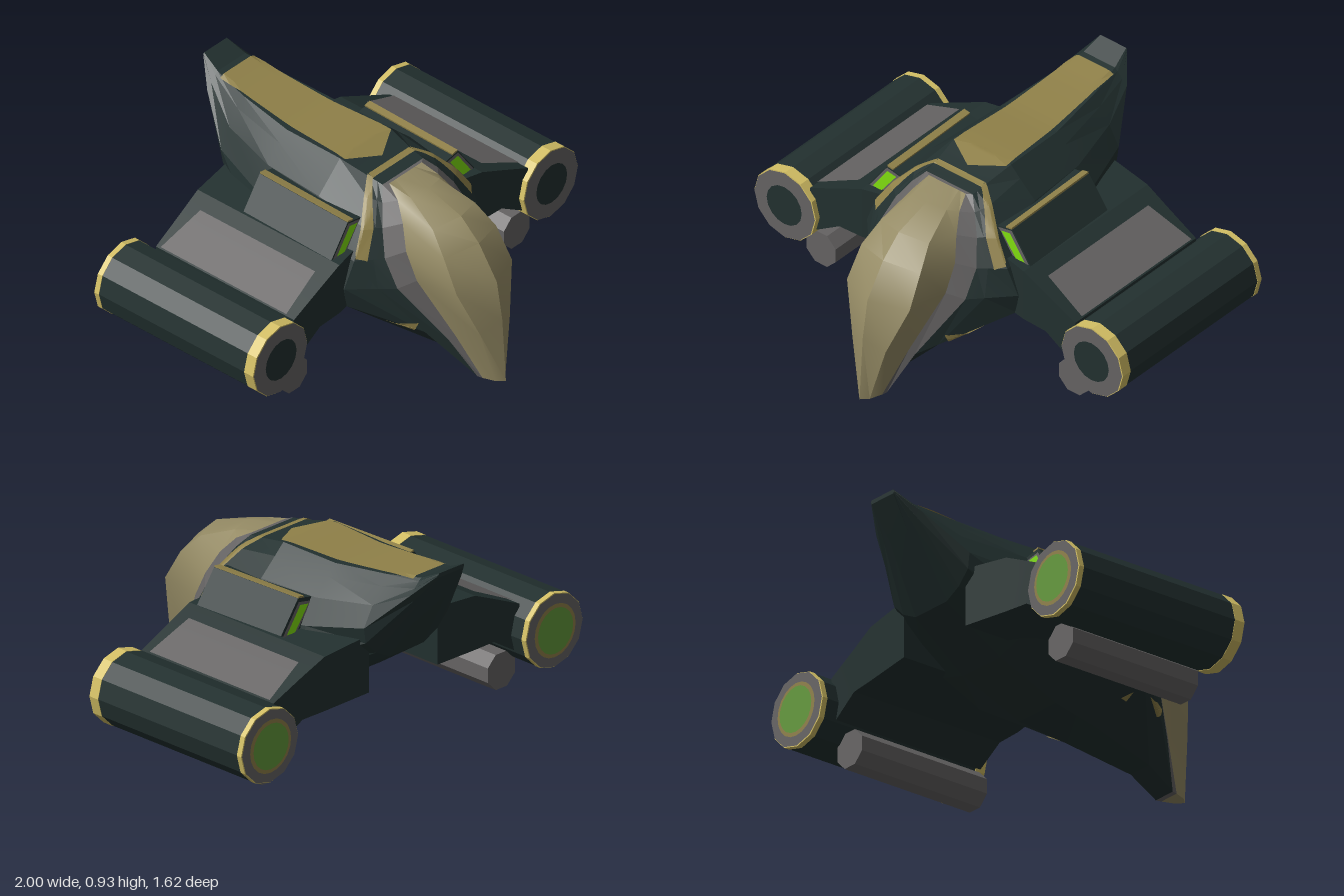
import * as THREE from 'three';
import { toCreasedNormals } from 'three/addons/utils/BufferGeometryUtils.js';

const mat = (name, color, side = THREE.FrontSide) => {
  const m = new THREE.MeshStandardMaterial({ color, side });
  m.name = name;
  return m;
};
const V = (p) => new THREE.Vector3(...p);

// Skin a list of closed cross-sections with equal point counts
function loft(rings, caps = false, crease = 0.1) {
  const pos = [];
  const tri = (a, b, c) => {
    const [A, B, C] = [V(a), V(b), V(c)];
    if (B.clone().sub(A).cross(C.clone().sub(A)).length() > 1e-7) pos.push(...a, ...b, ...c);
  };
  const n = rings[0].length;
  for (let i = 0; i < rings.length - 1; i++) {
    for (let j = 0; j < n; j++) {
      const k = (j + 1) % n;
      tri(rings[i][j], rings[i][k], rings[i + 1][k]);
      tri(rings[i][j], rings[i + 1][k], rings[i + 1][j]);
    }
  }
  if (caps) {
    const e = rings[rings.length - 1];
    for (let j = 1; j < n - 1; j++) {
      tri(rings[0][0], rings[0][j + 1], rings[0][j]);
      tri(e[0], e[j], e[j + 1]);
    }
  }
  const g = new THREE.BufferGeometry();
  g.setAttribute('position', new THREE.Float32BufferAttribute(pos, 3));
  return toCreasedNormals(g, crease);
}

// Complete a left half-section with its mirror image
const whole = (half) => [...half, ...half.map(([x, y, z]) => [-x, y, z]).reverse()];
const section = (z, pts) => whole(pts.map(([x, y]) => [x, y, z]));

// Mirror a non-indexed geometry across x, keeping the faces outward
function mirrored(geo) {
  const g = geo.clone().scale(-1, 1, 1);
  for (const key of ['position', 'normal']) {
    const a = g.attributes[key].array;
    for (let i = 0; i < a.length; i += 9) {
      for (let k = 3; k < 6; k++) [a[i + k], a[i + k + 3]] = [a[i + k + 3], a[i + k]];
    }
  }
  return g;
}

// Thin panel: a four-cornered patch laid on a surface along a direction
function panel(target, [a, b, c, d], dir, n = 12) {
  const ray = new THREE.Raycaster();
  const D = V(dir).normalize();
  const pos = [], index = [];
  for (let i = 0; i <= n; i++) {
    for (let j = 0; j <= n; j++) {
      const p = V(a).lerp(V(b), i / n).lerp(V(d).lerp(V(c), i / n), j / n);
      ray.set(p.clone().addScaledVector(D, -2), D);
      const hit = ray.intersectObject(target)[0];
      if (hit) p.copy(hit.point).addScaledVector(hit.face.normal, 0.006);
      pos.push(p.x, p.y, p.z);
      if (i < n && j < n) {
        const k = i * (n + 1) + j;
        index.push(k, k + 1, k + n + 2, k, k + n + 2, k + n + 1);
      }
    }
  }
  const g = new THREE.BufferGeometry();
  g.setAttribute('position', new THREE.Float32BufferAttribute(pos, 3));
  g.setIndex(index);
  return toCreasedNormals(g, 0.2);
}

export function createModel() {
  const model = new THREE.Group();
  const hullMat = mat('dark teal hull', 0x22302f);
  const grey = mat('grey metal', 0x656363);
  const greyPanel = mat('grey panel', 0x656363, THREE.DoubleSide);
  const gold = mat('dull gold', 0x8f8048, THREE.DoubleSide);
  const brass = mat('bright brass', 0xd2be64);
  const tan = mat('tan canopy', 0x948a64);
  const green = mat('bright green', 0x80de10, THREE.DoubleSide);
  const glow = mat('engine green', 0x62983a);

  const add = (name, geo, material) => {
    const m = new THREE.Mesh(geo, material);
    m.name = name;
    model.add(m);
    return m;
  };
  const pair = (name, geo, material) => {
    add(name + 'Right', mirrored(geo), material);
    return add(name + 'Left', geo, material);
  };

  // Nose rings, spreading from the canopy spine out to the hull rim
  const spine = whole([[0, .79, .2], [0, .775, .38], [0, .72, .56], [0, .63, .66], [0, .48, .76], [0, .3, .79], [0, 0, .81]]);
  const crease = whole([[.05, .79, .22], [.09, .765, .36], [.13, .7, .52], [.16, .61, .61], [.17, .47, .69], [.09, .25, .75], [.03, 0, .78]]);
  const edge = whole([[.1, .79, .25], [.125, .75, .32], [.16, .68, .38], [.195, .58, .43], [.195, .46, .49], [.11, .2, .63], [.05, 0, .725]]);
  const frame = whole([[.125, .79, .235], [.17, .74, .275], [.22, .66, .32], [.26, .55, .37], [.26, .43, .44], [.13, .18, .61], [.055, 0, .7]]);
  const cheek = whole([[.127, .794, .21], [.18, .747, .255], [.242, .664, .302], [.297, .55, .34], [.315, .43, .382], [.19, .215, .53], [.06, .08, .57]]);
  const rim = whole([[.13, .8, .17], [.2, .757, .22], [.28, .67, .27], [.36, .55, .29], [.41, .43, .28], [.39, .33, .27], [.1, .145, .25]]);

  add('canopy', loft([spine, crease, edge], false, 0.6), tan);
  add('canopyFrame', loft([edge, frame]), grey);
  const hull = add('hull', loft([
    frame, cheek, rim,
    section(.02, [[.15, .833], [.2, .785], [.28, .71], [.36, .58], [.41, .44], [.38, .33], [.12, .18]]),
    section(-.28, [[.145, .83], [.19, .785], [.26, .71], [.32, .6], [.36, .46], [.33, .36], [.12, .3]]),
    section(-.55, [[.115, .855], [.15, .81], [.2, .74], [.25, .65], [.24, .58], [.18, .52], [.1, .48]]),
    section(-.72, [[.085, .882], [.1, .87], [.125, .845], [.15, .82], [.13, .79], [.1, .77], [.06, .755]]),
    section(-.81, [[.07, .925], [.073, .922], [.075, .919], [.075, .916], [.074, .913], [.072, .91], [.07, .907]]),
    spine.map(() => [0, .916, -.81]),
  ]), hullMat);

  // Gold trim on the hull
  const down = [0, -1, 0];
  add('backPanel', panel(hull, [[-.142, .9, .04], [.142, .9, .04], [.1, .9, -.69], [-.1, .9, -.69]], down), gold);
  add('backPanelTip', panel(hull, [[0, .9, -.0], [-.142, .9, .04], [0, .9, -.0 + .12], [.142, .9, .04]], down), gold);
  add('browStripe', panel(hull, [[-.13, .9, .185], [.13, .9, .185], [.125, .9, .155], [-.125, .9, .155]], down), gold);
  const inward = [-.6, -.6, -.4];
  pair('browSideUpper', panel(hull, [[.13, .8, .185], [.255, .665, .3], [.29, .66, .265], [.13, .805, .155]], inward), gold);
  pair('browSideLower', panel(hull, [[.255, .665, .3], [.325, .555, .33], [.355, .56, .29], [.29, .66, .265]], inward), gold);
  pair('chinPatch', panel(hull, [[.19, .28, .5], [.29, .29, .32], [.26, .215, .28], [.19, .225, .46]], [-.6, .6, -.4]), gold);

  // Wings reaching down to the engines
  const wing = pair('wing', loft([
    [.2, .6, .34, .25, -.53], [.44, .57, .325, .28, -.51], [.56, .515, .32, .28, -.5], [.72, .44, .22, .28, -.49],
  ].map(([x, top, low, zf, zb]) => [[x, top, zb], [x, top, zf], [x, low, zf], [x, low, zb]]), true), hullMat);
  pair('wingPanel', panel(wing, [[.51, 1, -.43], [.715, 1, -.465], [.715, 1, .235], [.51, 1, .21]], down), greyPanel);

  // Shoulder pods with green ends and a gold strip on top
  const podShape = [[.25, .68], [.26, .7], [.34, .715], [.44, .575], [.34, .54]];
  pair('shoulderPod', loft([.235, -.255].map((z) => podShape.map(([x, y]) => [x, y + (z < 0 ? .008 : -.004), z])), true), hullMat);
  const plate = (pts, z) => {
    const g = new THREE.ShapeGeometry(new THREE.Shape(pts.map(([x, y]) => new THREE.Vector2(x, y))));
    g.deleteAttribute('uv');
    return toCreasedNormals(g.translate(0, 0, z), 0.1);
  };
  const outer = [[.265, .692], [.338, .706], [.432, .574], [.355, .565]];
  const inner = [[.285, .685], [.333, .693], [.412, .58], [.365, .577]];
  for (const [end, z, s] of [['Front', .237, 1], ['Rear', -.257, -1]]) {
    pair('podFrame' + end, plate(outer, z), greyPanel);
    pair('podLight' + end, plate(inner, z + s * .004), green);
  }
  const strip = new THREE.BoxGeometry(.032, .008, .49).rotateZ(.18).rotateX(.024).translate(.322, .718, -.01);
  pair('podStrip', toCreasedNormals(strip, 0.1), gold);

  // Engines: body, end bands, faces and the gun slung below
  const tube = (x, y, r, z0, z1, sides, turn = 0) => toCreasedNormals(
    new THREE.CylinderGeometry(r, r, z1 - z0, sides).rotateY(turn).rotateX(Math.PI / 2).translate(x, y, (z0 + z1) / 2), 0.1);
  const disc = (r, z, sides, back) => toCreasedNormals(
    new THREE.CircleGeometry(r, sides).rotateY(back ? Math.PI : 0).translate(.833, .313, z), 0.1);
  pair('engineBody', tube(.833, .313, .165, -.56, .26, 12), hullMat);
  pair('engineFrontBand', tube(.833, .313, .167, .255, .305, 12), brass);
  pair('engineRearBand', tube(.833, .313, .167, -.58, -.555, 12), brass);
  pair('engineFrontFace', disc(.164, .308, 12, false), grey);
  pair('engineIntake', disc(.095, .311, 16, false), hullMat);
  pair('engineRearFace', disc(.164, -.583, 12, true), grey);
  pair('engineRearRing', disc(.12, -.586, 20, true), gold);
  pair('engineGlow', disc(.103, -.589, 20, true), glow);
  pair('gunBarrel', tube(.685, .128, .086, -.42, .25, 8, Math.PI / 8), grey);
  return model;
}
